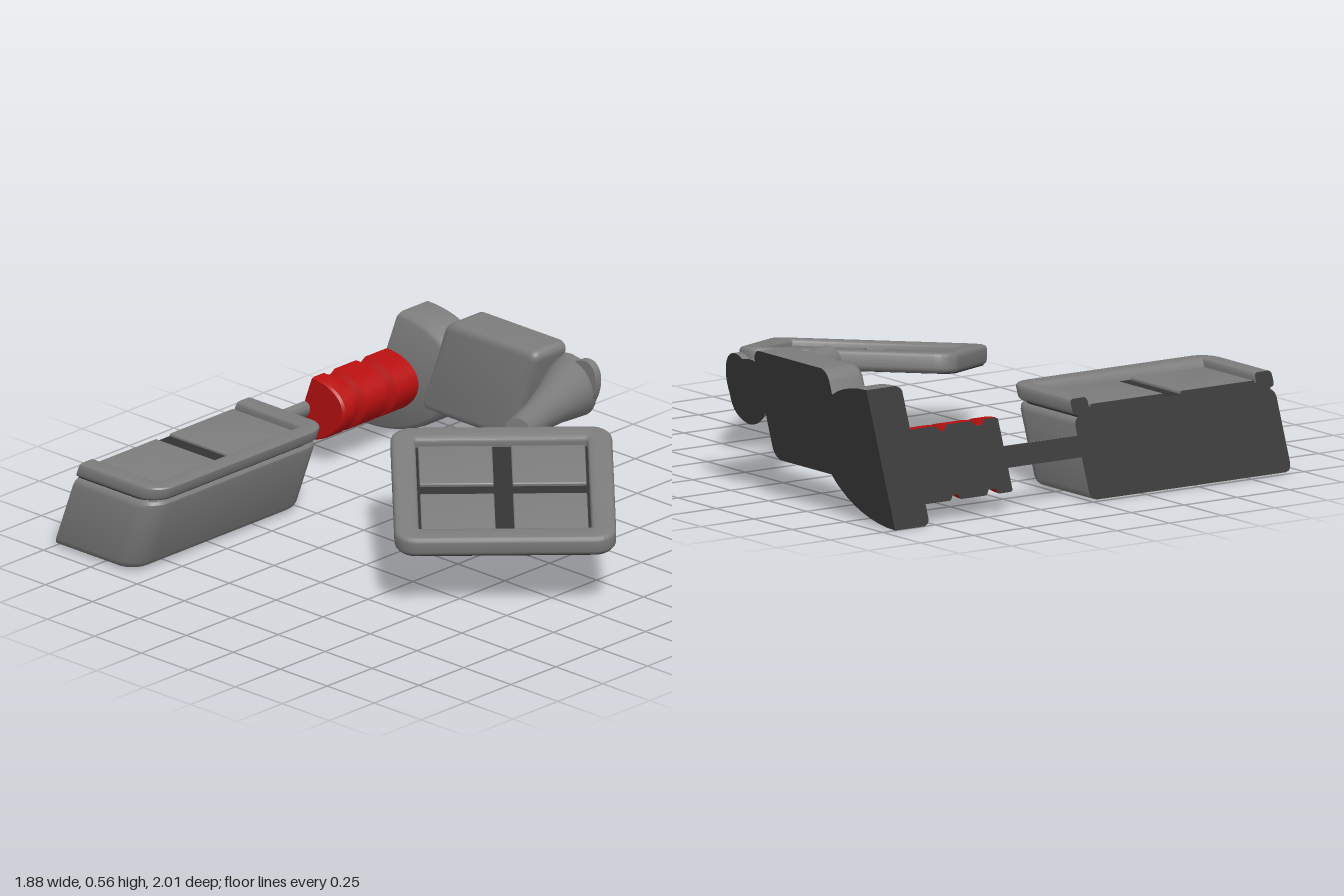
import * as THREE from 'three';
import { toCreasedNormals } from 'three/addons/utils/BufferGeometryUtils.js';

const mat = (name, color) => Object.assign(new THREE.MeshStandardMaterial({ color }), { name });
const SLANT = 0.365; // the hull leans: z grows with height
const CUT_X = 0.94, CUT_Z = -1; // flat section planes

export function createModel() {
  const grey = mat('grey hull', 0x7c7c7c);
  const dark = mat('dark section', 0x333333);
  const red = mat('red tank', 0xb81010);
  const model = new THREE.Group();

  // Flattens a geometry against the section planes, colours the cut faces dark, then leans it
  function part(name, geo, material, { slant = SLANT, parent = model } = {}) {
    const src = geo.index ? geo.toNonIndexed() : geo;
    const p = src.attributes.position, outer = [], cut = [];
    for (let i = 0; i < p.count; i += 3) {
      const t = [0, 1, 2].map((k) => {
        const v = new THREE.Vector3().fromBufferAttribute(p, i + k);
        if (parent === model) v.set(Math.min(v.x, CUT_X), v.y, Math.max(v.z, CUT_Z));
        return v;
      });
      if (new THREE.Triangle(...t).getArea() < 1e-9) continue;
      const onCut = parent === model &&
        (t.every((v) => v.x > CUT_X - 1e-5) || t.every((v) => v.z < CUT_Z + 1e-5));
      for (const v of t) (onCut ? cut : outer).push(v.x, v.y, v.z + slant * v.y);
    }
    let g = new THREE.BufferGeometry();
    g.setAttribute('position', new THREE.Float32BufferAttribute([...outer, ...cut], 3));
    g = toCreasedNormals(g, 0.6);
    g.clearGroups();
    g.addGroup(0, outer.length / 3, 0);
    if (cut.length) g.addGroup(outer.length / 3, cut.length / 3, 1);
    const mesh = new THREE.Mesh(g, [material, dark]);
    mesh.name = name;
    parent.add(mesh);
    return mesh;
  }

  // Rounded rectangle outline
  function roundRect(x0, y0, x1, y1, r, Type = THREE.Shape) {
    const s = new Type();
    s.moveTo(x0 + r, y0);
    s.lineTo(x1 - r, y0); s.absarc(x1 - r, y0 + r, r, -Math.PI / 2, 0);
    s.lineTo(x1, y1 - r); s.absarc(x1 - r, y1 - r, r, 0, Math.PI / 2);
    s.lineTo(x0 + r, y1); s.absarc(x0 + r, y1 - r, r, Math.PI / 2, Math.PI);
    s.lineTo(x0, y0 + r); s.absarc(x0 + r, y0 + r, r, Math.PI, Math.PI * 1.5);
    return s;
  }

  const bevelled = (shape, depth, b) => new THREE.ExtrudeGeometry(shape, {
    depth: depth - 2 * b, bevelThickness: b, bevelSize: b, bevelOffset: -b, bevelSegments: 3, curveSegments: 8,
  }).translate(0, 0, b);
  // Horizontal slab: outline in (x, -z), raised from y0 to y1
  const slab = (shape, y0, y1, b) => bevelled(shape, y1 - y0, b).rotateX(-Math.PI / 2).translate(0, y0, 0);
  // Turned part along x: profile of [x, radius], scaled to an oval of height ry and depth rz
  const turned = (profile, y, z, ry, rz) => new THREE.LatheGeometry(
    profile.map(([x, r]) => new THREE.Vector2(r, x)), 48)
    .rotateZ(-Math.PI / 2).scale(1, ry, rz).translate(0, y, z);

  // Outline of the cargo pod: rounded front corners, straight run past the rear section
  function podOutline(inset) {
    const l = -0.945 + inset, r = 0.01 - inset, f = 0.58 + inset, c = 0.09;
    const s = new THREE.Shape();
    s.moveTo(l + c, f);
    s.lineTo(r - c, f); s.absarc(r - c, f + c, c, -Math.PI / 2, 0);
    s.lineTo(r, 1.1); s.lineTo(l, 1.1);
    s.lineTo(l, f + c); s.absarc(l + c, f + c, c, Math.PI, Math.PI * 1.5);
    return s;
  }
  part('podBody', slab(podOutline(0), 0.01, 0.318, 0.03), grey);
  part('podSeam', slab(podOutline(0.02), 0.3, 0.345, 0.002), dark);

  // Pod lid: U-shaped rim open to the rear, holding two tiles
  const rim = new THREE.Shape();
  const [l, r, f, c] = [-0.945, 0.01, 0.58, 0.09];
  rim.moveTo(l + c, f);
  rim.lineTo(r - c, f); rim.absarc(r - c, f + c, c, -Math.PI / 2, 0);
  rim.lineTo(r, 1.1); rim.lineTo(-0.07, 1.1); rim.lineTo(-0.07, 0.66);
  rim.lineTo(-0.865, 0.66); rim.lineTo(-0.865, 1.1); rim.lineTo(l, 1.1);
  rim.lineTo(l, f + c); rim.absarc(l + c, f + c, c, Math.PI, Math.PI * 1.5);
  part('podLidRim', slab(rim, 0.325, 0.385, 0.015), grey);
  for (const x of [-0.857, -0.43]) {
    part('podTile', slab(roundRect(x, 0.67, x + 0.352, 1.1, 0.005), 0.335, 0.357, 0.006), grey);
  }

  // Rod and grooved tank
  part('rod', turned([[0, 0], [0, 1], [0.38, 1], [0.38, 0]], 0.21, CUT_Z, 0.04, 0.04), grey);
  const g = 0.86;
  part('tank', turned([[0.36, 0], [0.36, 0.96], [0.37, 1], [0.425, 1], [0.44, g], [0.47, g], [0.485, 1],
    [0.605, 1], [0.62, g], [0.64, g], [0.655, 1], [0.78, 1], [0.78, 0]], 0.22, CUT_Z, 0.138, 0.214), red);

  // Central hub
  part('hub', turned([[0.775, 0], [0.775, 0.92], [0.782, 0.965], [0.8, 1], [CUT_X, 1], [CUT_X, 0]],
    0.263, CUT_Z, 0.26, 0.4), grey);

  // Forward block
  part('block', bevelled(roundRect(0.265, 0.155, 0.755, 0.56, 0.045), 0.3, 0.03)
    .rotateY(Math.PI / 2).translate(0.768, 0, 0), grey);

  // Arm joint flange
  part('armFlange', turned([[0.908, 0], [0.908, 1], [CUT_X, 1], [CUT_X, 0]], 0.395, -0.135, 0.13, 0.095), grey);

  // Flared arm from the joint to the panel
  const from = new THREE.Vector3(0.4, 0.415, 0.185), to = new THREE.Vector3(0.99, 0.39, -0.045);
  const axis = to.clone().sub(from), len = axis.length();
  const flare = [[0, 0], [0, 0.056], [0.3, 0.063], [0.55, 0.082], [0.75, 0.105], [0.9, 0.122], [1, 0.128], [1, 0]];
  const arm = new THREE.LatheGeometry(flare.map(([t, q]) => new THREE.Vector2(q, t * len)), 32)
    .applyQuaternion(new THREE.Quaternion().setFromUnitVectors(new THREE.Vector3(0, 1, 0), axis.normalize()))
    .translate(from.x, from.y, from.z);
  part('arm', arm, grey, { slant: 0 });

  // Tilted square panel: frame, dark backing and four tiles
  const panel = new THREE.Group();
  panel.name = 'panel';
  panel.rotation.set(0, Math.PI / 4, Math.atan(0.155), 'YXZ');
  panel.position.set(0.05, 0.345, 0.445);
  model.add(panel);
  const own = { slant: 0, parent: panel };
  const h = 0.427, w = 0.332;
  const frame = roundRect(-h, -h, h, h, 0.085);
  frame.holes.push(roundRect(-w, -w, w, w, 0.01, THREE.Path));
  part('panelFrame', slab(frame, -0.036, 0.04, 0.018), grey, own);
  const b = h - 0.012;
  part('panelUnderside', slab(roundRect(-b, -b, b, b, 0.075), -0.04, -0.031, 0.001), dark, own);
  part('panelFloor', new THREE.BoxGeometry(0.68, 0.03, 0.68).translate(0, -0.015, 0), dark, own);
  for (const sx of [-1, 1]) for (const sz of [-1, 1]) {
    const m = 0.179, k = 0.143;
    part('panelTile', slab(roundRect(sx * m - k, sz * m - k, sx * m + k, sz * m + k, 0.005),
      -0.005, 0.014, 0.006), grey, own);
  }
  return model;
}
